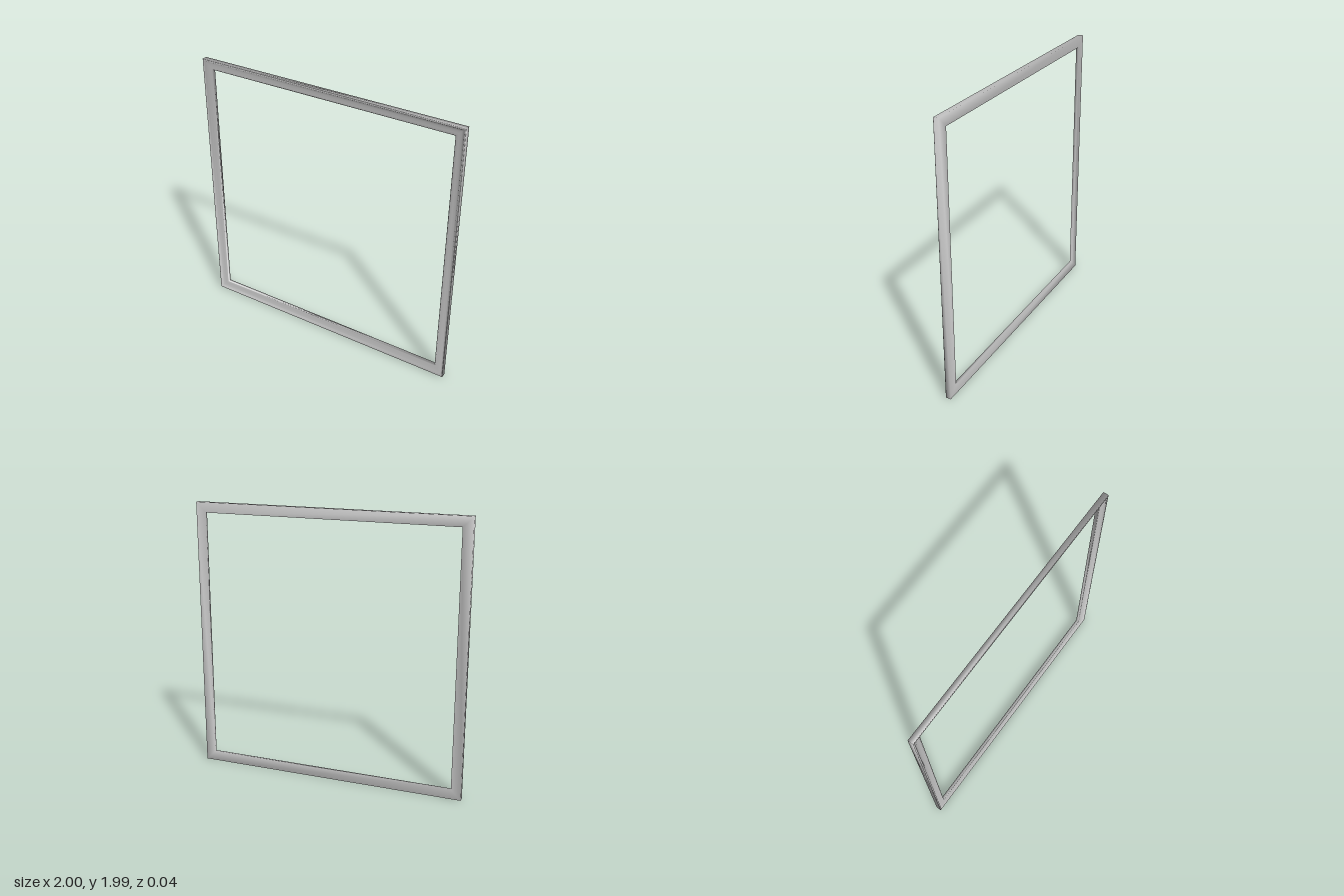
import * as THREE from 'three';

const HALF_W = 1, HEIGHT = 1.985;

// Moulding cross-section: [inset from the outer edge, z], running from back to front to inside
const PROFILE = [
  [0, -0.02], [0, 0.017], [0.003, 0.02], [0.011, 0.02], [0.015, 0.014],
  [0.03, 0.008], [0.05, 0.005], [0.066, 0.003], [0.073, 0], [0.073, -0.02],
];

// Sweeps the profile round a rectangle with mitred corners and shared, smooth normals
function mitredFrame(halfW, halfH, profile) {
  const corners = [[1, -1], [1, 1], [-1, 1], [-1, -1]];
  const n = profile.length;
  const positions = [], index = [];
  corners.forEach(([sx, sy], i) => {
    const next = (i + 1) % 4;
    profile.forEach(([inset, z], j) => {
      positions.push(sx * (halfW - inset), sy * (halfH - inset), z);
      const k = (j + 1) % n;
      const a = i * n + j, b = next * n + j, c = next * n + k, d = i * n + k;
      index.push(a, b, c, a, c, d);
    });
  });
  const geometry = new THREE.BufferGeometry();
  geometry.setAttribute('position', new THREE.Float32BufferAttribute(positions, 3));
  geometry.setIndex(index);
  geometry.computeVertexNormals();
  return geometry;
}

export function createModel() {
  const group = new THREE.Group();
  group.name = 'pictureFrame';
  const material = new THREE.MeshStandardMaterial({ color: 0xcccccc });

  // Four mitred rails with a raised outer lip and a hollowed front
  const frame = new THREE.Mesh(mitredFrame(HALF_W, HEIGHT / 2, PROFILE), material);
  frame.name = 'frameMoulding';
  frame.position.y = HEIGHT / 2;
  group.add(frame);
  return group;
}
